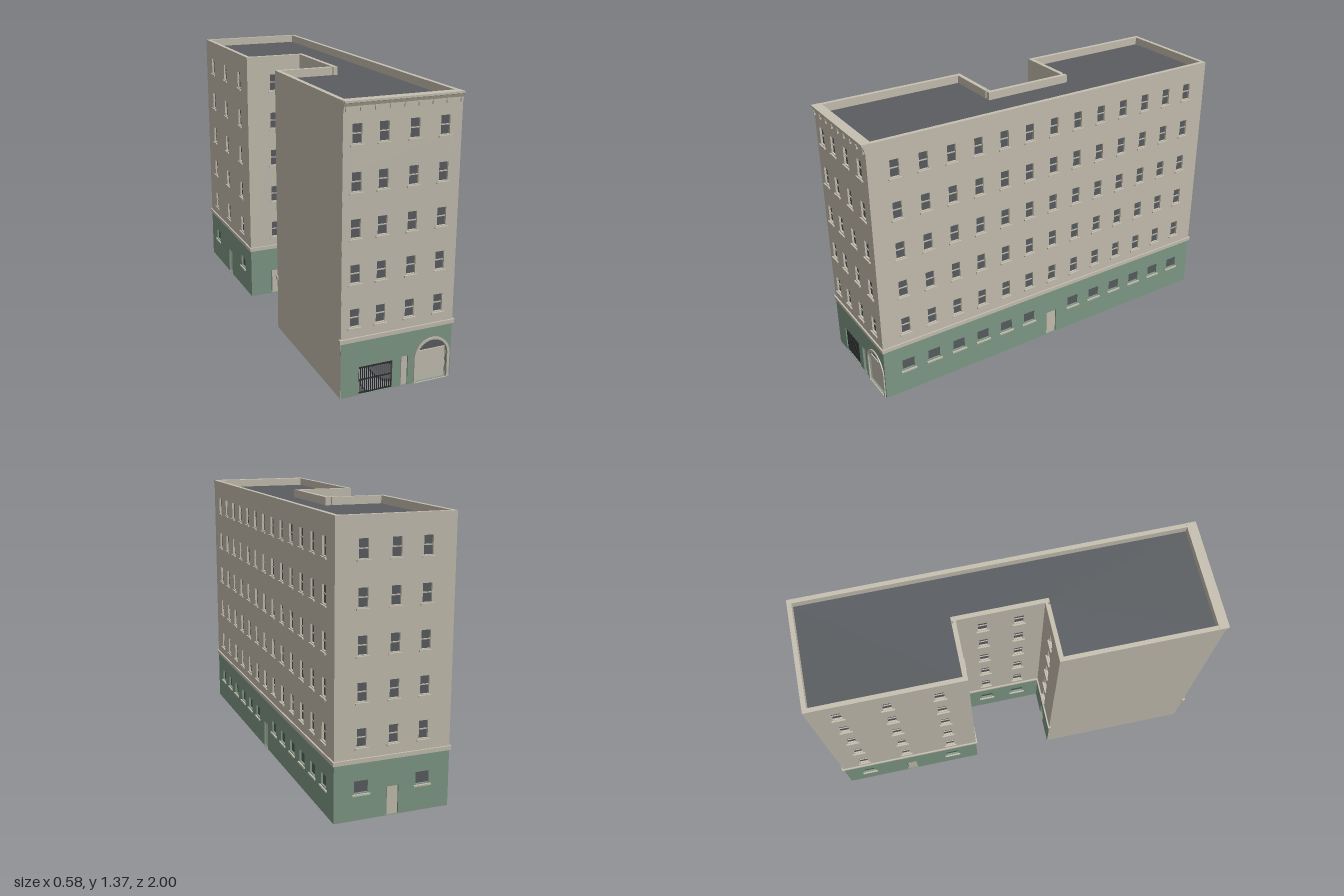
import * as THREE from 'three';
import { mergeGeometries } from 'three/addons/utils/BufferGeometryUtils.js';

const mat = (name, color) => {
  const m = new THREE.MeshStandardMaterial({ color });
  m.name = name;
  return m;
};

const TOP = 1.365, SPLIT = 0.275, OUTER = 0.012, LINER = 0.01, T = OUTER + LINER;
const ROWS = [0, 1, 2, 3, 4].map(i => 0.347 + i * 0.2085);
const WIN_W = 0.045, WIN_H = 0.085;

const box = (w, h, d, x, y, z) => new THREE.BoxGeometry(w, h, d).translate(x, y, z);

function rectPath(C, u0, u1, y0, y1) {
  const p = new C();
  p.moveTo(u0, y0); p.lineTo(u1, y0); p.lineTo(u1, y1); p.lineTo(u0, y1);
  p.closePath();
  return p;
}

function archPath(C, cx, r, y0, spring) {
  const p = new C();
  p.moveTo(cx - r, y0); p.lineTo(cx + r, y0); p.lineTo(cx + r, spring);
  p.absarc(cx, spring, r, 0, Math.PI, false);
  p.closePath();
  return p;
}

const extrude = (shape, depth, z) =>
  new THREE.ExtrudeGeometry(shape, { depth, bevelEnabled: false, curveSegments: 20 }).translate(0, 0, z);

function panel(u0, u1, y0, y1, holes, depth, z) {
  const s = rectPath(THREE.Shape, u0, u1, y0, y1);
  s.holes.push(...holes);
  return extrude(s, depth, z);
}

export function createModel() {
  const cream = mat('cream stone', 0xc6c0b1);
  const green = mat('green ground floor', 0x809a87);
  const slate = mat('slate glass and roof', 0x5a5d61);
  const iron = mat('dark iron', 0x2b2d2f);
  const model = new THREE.Group();
  model.name = 'building';

  const add = (parent, name, geos, material) => {
    if (!geos.length) return;
    const m = new THREE.Mesh(geos.length > 1 ? mergeGeometries(geos) : geos[0], material);
    m.name = name;
    parent.add(m);
  };

  // One facade: local x runs along the wall, local +z faces outward
  function wall(name, pos, turn, u0, u1, o) {
    const g = new THREE.Group();
    g.name = name;
    g.position.set(pos[0], 0, pos[1]);
    g.rotation.y = turn;
    const { columns = [], lowWindows = [], doors = [], plain = false, concave = [0, 0] } = o;
    const panes = [], rails = [], sills = [], doorBacks = [], doorSlabs = [];
    const upper = [], lower = [...(o.holes || [])];

    const opening = (list, u, y, w, h) => {
      list.push(rectPath(THREE.Path, u - w / 2, u + w / 2, y, y + h));
      panes.push(box(w, h, 0.004, u, y + h / 2, -0.012));
      sills.push(box(w + 0.02, 0.008, 0.018, u, y - 0.008, -0.001));
    };
    for (const u of columns) for (const y of ROWS) {
      opening(upper, u, y, WIN_W, WIN_H);
      rails.push(box(WIN_W, 0.005, 0.006, u, y + WIN_H / 2, -0.009));
    }
    for (const u of lowWindows) opening(lower, u, 0.13, 0.066, 0.058);
    for (const [u, w, h] of doors) {
      lower.push(rectPath(THREE.Path, u - w / 2, u + w / 2, 0.002, h));
      doorBacks.push(box(w, h, 0.006, u, h / 2, -0.018));
      doorSlabs.push(box(w - 0.007, h - 0.003, 0.007, u + 0.0035, h / 2 - 0.0015, -0.011));
    }

    // Outer skin, with its ends carried into inside corners
    const a = u0 - concave[0] * T, b = u1 + concave[1] * T;
    add(g, name + ' upper skin', [panel(a, b, SPLIT, TOP, upper, OUTER, -OUTER)], cream);
    add(g, name + ' lower skin', [panel(a, b, 0, SPLIT, lower, OUTER, -OUTER)], plain ? cream : green);
    // Cream inner lining
    const c = concave[0] ? a : u0 + 0.011, d = concave[1] ? b : u1 - 0.011;
    add(g, name + ' lining', [
      panel(c, d, SPLIT, TOP, upper, LINER, -T),
      panel(c, d, 0, SPLIT, lower, LINER, -T)], cream);

    // Belt course above the ground floor
    if (!plain) add(g, name + ' belt course', [
      box(u1 - u0 + 0.012, 0.016, 0.016, (u0 + u1) / 2, 0.281, -0.002),
      box(u1 - u0 + 0.016, 0.006, 0.018, (u0 + u1) / 2, 0.291, -0.001)], cream);

    add(g, name + ' glass', panes, slate);
    add(g, name + ' sash rails', rails, cream);
    add(g, name + ' sills', sills, cream);
    add(g, name + ' door backs', doorBacks, slate);
    add(g, name + ' doors', doorSlabs, cream);
    model.add(g);
    return g;
  }

  const X0 = -0.285, X1 = 0.282, Z0 = -0.99, Z1 = 0.985;
  const NX = 0.015, NZ0 = -0.233, NZ1 = 0.193;
  const H = Math.PI / 2;

  // Front with barred gate, side door and arched entrance
  const ax = 0.18, ar = 0.081, spring = 0.127;
  const front = wall('front wall', [0, Z1], 0, X0, X1, {
    columns: [-0.22, -0.093, 0.053, 0.2],
    doors: [[0.0365, 0.037, 0.15]],
    holes: [rectPath(THREE.Path, -0.195, -0.025, 0.002, 0.142),
      archPath(THREE.Path, ax, ar, 0.002, spring)],
  });

  // Long right side
  const cols = Array.from({ length: 13 }, (_, i) => -0.855 + i * 0.1434);
  wall('right wall', [X1, 0], H, -Z1, -Z0, {
    columns: cols, lowWindows: cols.filter((_, i) => i !== 6), doors: [[0.006, 0.064, 0.14]],
  });

  // Back
  wall('back wall', [0, Z0], 2 * H, -X1, -X0, {
    columns: [-0.152, 0.002, 0.15], lowWindows: [-0.152, 0.15], doors: [[0.002, 0.06, 0.14]],
  });

  // Left side: rear wing, courtyard recess and blank front wing
  wall('rear wing left wall', [X0, 0], -H, Z0, NZ0, {
    columns: [-0.86, -0.625, -0.375], lowWindows: [-0.86, -0.375], doors: [[-0.62, 0.06, 0.14]],
  });
  wall('court rear wall', [0, NZ0], 0, X0, NX, { columns: [-0.135], doors: [[-0.135, 0.06, 0.14]] });
  wall('court inner wall', [NX, 0], -H, NZ0, NZ1, {
    columns: [-0.11, 0.07], lowWindows: [-0.11, 0.07], concave: [1, 1],
  });
  wall('court front wall', [0, NZ1], 2 * H, -NX, -X0, { columns: [0.13], doors: [[0.13, 0.06, 0.14]] });
  wall('front wing left wall', [X0 - 0.0005, 0], -H, NZ1 + 0.0005, Z1 - 0.0005, { plain: true });

  // Arched entrance: surround, dark fanlight and cream door
  const ring = archPath(THREE.Shape, ax, ar + 0.012, 0, spring);
  ring.holes.push(archPath(THREE.Path, ax, ar, 0.001, spring));
  add(front, 'arch surround', [extrude(ring, 0.008, -0.002)], cream);
  add(front, 'arch fanlight', [extrude(archPath(THREE.Shape, ax, ar, 0.002, spring), 0.005, -0.02)], slate);
  add(front, 'arch door', [box(0.154, 0.153, 0.006, ax - 0.002, 0.0785, -0.012)], cream);

  // Iron gate
  const bars = [];
  for (let i = 0; i <= 16; i++) bars.push(box(0.0035, 0.138, 0.004, -0.193 + i * 0.0104, 0.071, -0.008));
  for (const y of [0.006, 0.072, 0.132, 0.14]) bars.push(box(0.17, 0.005, 0.006, -0.11, y, -0.008));
  add(front, 'iron gate', bars, iron);

  // Front cornice with brackets
  const profile = new THREE.Shape([[-0.034, 1.3], [0, 1.3], [0, 1.332], [0.005, 1.332], [0.005, 1.341],
    [0.011, 1.355], [0.015, 1.357], [0.015, 1.366], [-0.034, 1.366]].map(p => new THREE.Vector2(...p)));
  const cornice = new THREE.ExtrudeGeometry(profile, { depth: X1 - X0, bevelEnabled: false })
    .rotateY(-H).translate(X1, 0, 0.0005);
  add(front, 'cornice', [cornice], cream);
  const brackets = [];
  for (let i = 0; i < 9; i++) brackets.push(box(0.008, 0.022, 0.01, -0.273 + i * 0.068, 1.33, 0.004));
  add(front, 'cornice brackets', brackets, cream);

  // Flat roof behind the parapet, following the footprint
  const e = 0.015;
  const plan = new THREE.Shape([[X0 + e, -Z1 + e], [X1 - e, -Z1 + e], [X1 - e, -Z0 - e], [X0 + e, -Z0 - e],
    [X0 + e, -NZ0 + e], [NX + e, -NZ0 + e], [NX + e, -NZ1 - e], [X0 + e, -NZ1 - e]]
    .map(p => new THREE.Vector2(...p)));
  const slab = (depth, y) =>
    new THREE.ExtrudeGeometry(plan, { depth, bevelEnabled: false }).rotateX(-H).translate(0, y, 0);
  add(model, 'roof', [slab(0.01, 1.315)], slate);
  add(model, 'ceiling', [slab(0.01, 1.305)], cream);
  return model;
}
